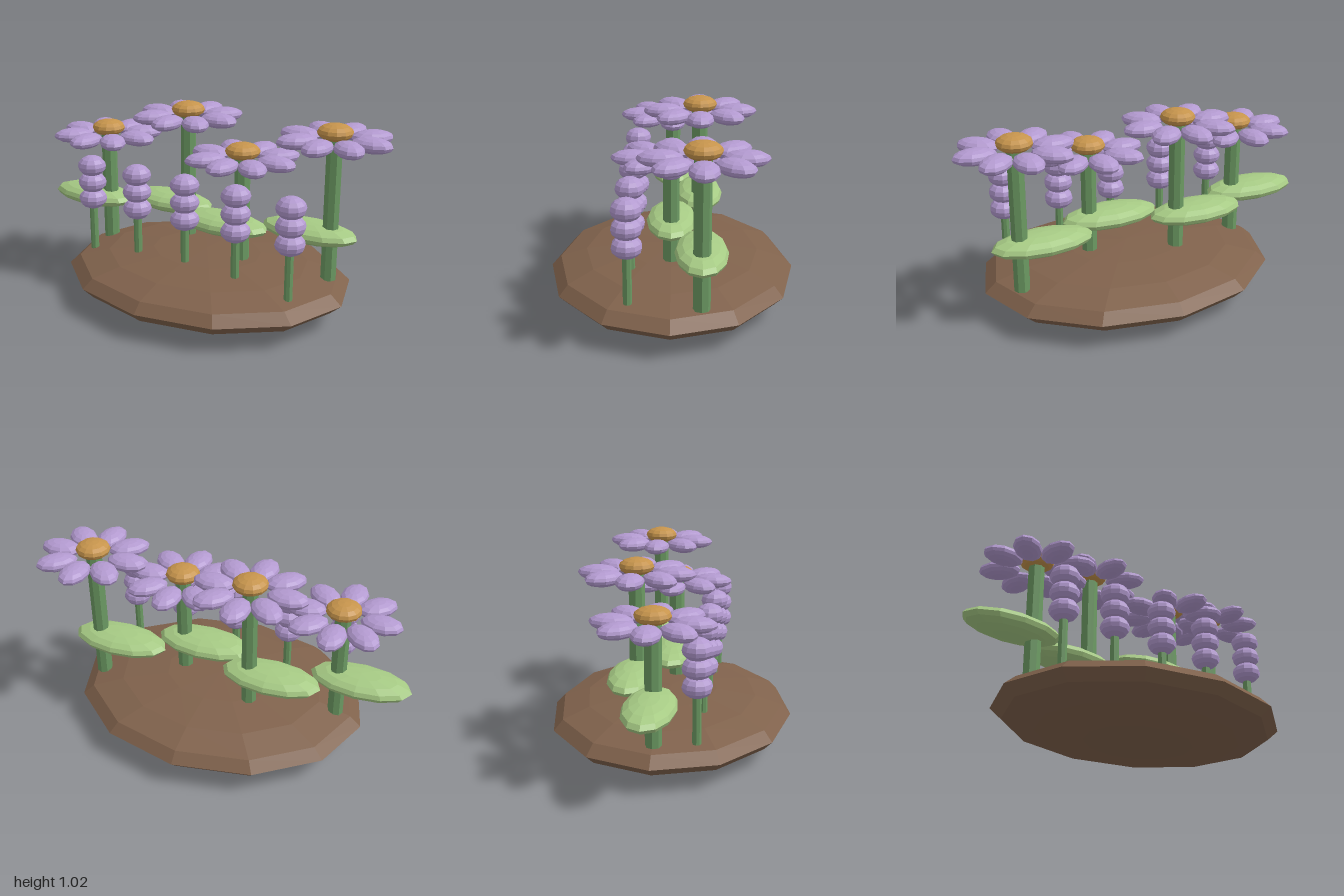
import * as THREE from 'three';

const material = (color) => new THREE.MeshStandardMaterial({ color, flatShading: true });
const soil = material(0x80624c);
const stemGreen = material(0x6c9a63);
const leafGreen = material(0xa6ca84);
const purple = material(0xb39ad0);
const amber = material(0xc6944c);

// Low-poly ellipsoid with half sizes rx, ry, rz
function ellipsoid(name, mat, [rx, ry, rz], [x, y, z], sides = 10, rows = 8) {
  const geometry = new THREE.SphereGeometry(1, sides, rows);
  geometry.scale(rx, ry, rz);
  const mesh = new THREE.Mesh(geometry, mat);
  mesh.name = name;
  mesh.position.set(x, y, z);
  return mesh;
}

// Upright stem between two heights
function stem(name, radius, bottom, top) {
  const mesh = new THREE.Mesh(new THREE.CylinderGeometry(radius, radius, top - bottom, 8), stemGreen);
  mesh.name = name;
  mesh.position.y = (bottom + top) / 2;
  return mesh;
}

// Tall flower: stem, side leaf, eight petals and a domed centre
function daisy(x, z, petalY) {
  const group = new THREE.Group();
  group.name = 'daisy';
  group.position.set(x, 0, z);
  group.add(stem('daisyStem', 0.042, 0.2, petalY + 0.02));
  group.add(ellipsoid('leaf', leafGreen, [0.267, 0.056, 0.13], [-0.12, 0.437, 0], 12));
  for (let i = 0; i < 8; i++) {
    const a = (i * Math.PI) / 4;
    const petal = ellipsoid('petal', purple, [0.108, 0.039, 0.071],
      [0.193 * Math.cos(a), petalY, -0.193 * Math.sin(a)]);
    petal.rotation.y = a;
    group.add(petal);
  }
  group.add(ellipsoid('flowerCentre', amber, [0.09, 0.044, 0.09], [0, petalY + 0.037, 0], 12));
  return group;
}

// Short flower: thin stem with three stacked buds
function budSpike(x, z) {
  const group = new THREE.Group();
  group.name = 'budSpike';
  group.position.set(x, 0, z);
  group.add(stem('spikeStem', 0.022, 0.205, 0.5));
  for (let i = 0; i < 3; i++) {
    group.add(ellipsoid('bud', purple, [0.076, 0.057, 0.076], [0, 0.497 + i * 0.092, 0]));
  }
  return group;
}

export function createModel() {
  const model = new THREE.Group();
  model.name = 'flowerBed';

  // Earth mound
  model.add(ellipsoid('mound', soil, [0.8, 0.137, 0.646], [0.04, 0.138, 0], 12));

  // Back row, alternating in height and depth
  for (let i = 0; i < 4; i++) {
    const tall = i % 2;
    model.add(daisy(-0.615 + i * 0.435, tall ? -0.148 : 0, tall ? 0.94 : 0.81));
  }

  // Front row
  for (let i = 0; i < 5; i++) model.add(budSpike(-0.573 + i * 0.305, 0.203));

  return model;
}
